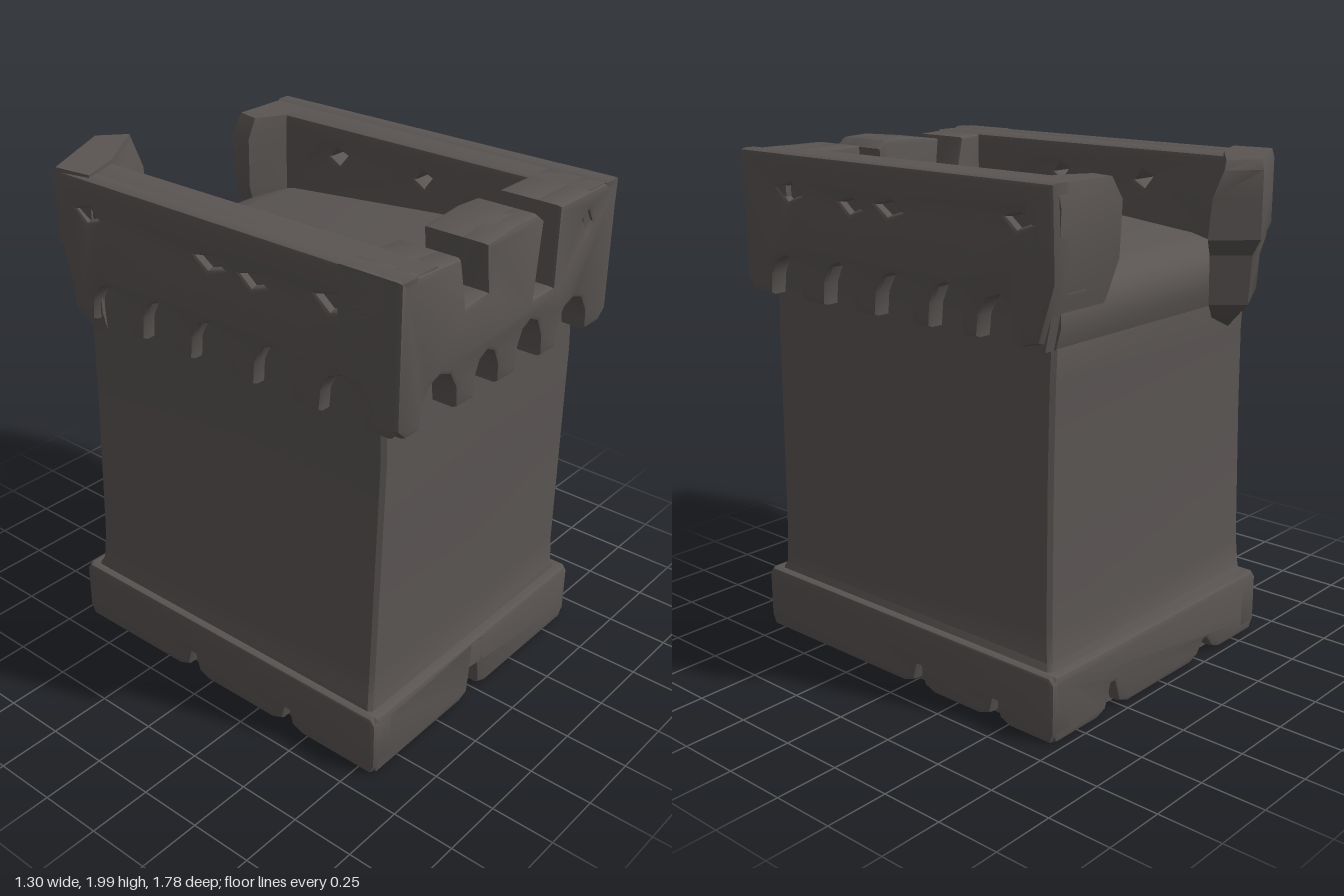
import * as THREE from 'three';
import { toCreasedNormals } from 'three/addons/utils/BufferGeometryUtils.js';

const stone = new THREE.MeshStandardMaterial({ color: 0x5a5553 });
stone.name = 'dark stone';

function part(name, geometry) {
  const g = geometry.index ? geometry.toNonIndexed() : geometry;
  const mesh = new THREE.Mesh(toCreasedNormals(g, 0.7), stone);
  mesh.name = name;
  return mesh;
}

// Solid through a stack of plan outlines, each { y, pts: [x, z][] }
function loft(name, rings) {
  const n = rings[0].pts.length;
  const pos = rings.flatMap(r => r.pts.flatMap(([x, z]) => [x, r.y, z]));
  const idx = [];
  for (let k = 0; k < rings.length - 1; k++) {
    for (let i = 0; i < n; i++) {
      const a = k * n + i, b = k * n + (i + 1) % n;
      idx.push(a, b, b + n, a, b + n, a + n);
    }
  }
  const top = (rings.length - 1) * n;
  for (let i = 1; i < n - 1; i++) idx.push(0, i + 1, i, top, top + i, top + i + 1);
  const g = new THREE.BufferGeometry();
  g.setAttribute('position', new THREE.Float32BufferAttribute(pos, 3));
  g.setIndex(idx);
  return part(name, g);
}

// Rectangle with clipped corners
const rect = (x0, x1, z0, z1, c = 0.015) => [
  [x0 + c, z1], [x1 - c, z1], [x1, z1 - c], [x1, z0 + c],
  [x1 - c, z0], [x0 + c, z0], [x0, z0 + c], [x0, z1 - c]];

// Arches [centre, half width, height] cut upwards from the line y0
const archLine = (y0, arches) => arches.flatMap(([c, w, h]) => [
  [c - w, y0], [c - w * 0.92, y0 + h * 0.5], [c - w * 0.55, y0 + h * 0.88], [c, y0 + h],
  [c + w * 0.55, y0 + h * 0.88], [c + w * 0.92, y0 + h * 0.5], [c + w, y0]]);

// Plinth face with wedge-shaped cracks [centre, half width, height] in its lower edge
const plinth = (u0, u1, cracks) => [
  [u0 + 0.02, 0.01],
  ...cracks.flatMap(([c, w, h]) => [[c - w - 0.05, 0.01], [c - w, 0.03], [c - 0.01, h],
    [c + 0.01, h], [c + w, 0.03], [c + w + 0.05, 0.01]]),
  [u1 - 0.02, 0.01], [u1, 0.05], [u1, 0.24], [u1 - 0.02, 0.265], [u0 + 0.02, 0.265], [u0, 0.24], [u0, 0.05]];

// Wall plate extruded from depth d0 to d1, facing 'front', 'back', 'left' or 'right'
const turn = { front: 0, left: Math.PI / 2, back: Math.PI, right: -Math.PI / 2 };
function wall(name, facing, pts, d0, d1, bevel = 0.015, dents = []) {
  const shape = new THREE.Shape(pts.map(p => new THREE.Vector2(...p)));
  for (const [u, y, w, h] of dents) {
    shape.holes.push(new THREE.Path([[-w, h * 0.4], [w * 0.2, h], [w, -h * 0.2], [-w * 0.1, -h]]
      .map(([a, b]) => new THREE.Vector2(u + a, y + b))));
  }
  const g = new THREE.ExtrudeGeometry(shape, {
    depth: d1 - d0 - 2 * bevel, bevelEnabled: bevel > 0, bevelThickness: bevel,
    bevelSize: bevel, bevelOffset: -bevel, bevelSegments: 2 });
  g.translate(0, 0, d0 + bevel);
  g.rotateY(turn[facing]);
  return part(name, g);
}

export function createModel() {
  const tower = new THREE.Group();
  tower.name = 'tower';

  // Tapering shaft, flaring out over the plinth
  tower.add(loft('shaft', [
    { y: 0.015, pts: rect(-0.6, 0.6, -0.67, 0.77) },
    { y: 0.255, pts: rect(-0.625, 0.62, -0.685, 0.785) },
    { y: 0.29, pts: rect(-0.61, 0.602, -0.667, 0.775) },
    { y: 0.42, pts: rect(-0.598, 0.597, -0.66, 0.77) },
    { y: 1.0, pts: rect(-0.588, 0.582, -0.65, 0.78) },
    { y: 1.3, pts: rect(-0.582, 0.575, -0.65, 0.785) },
    { y: 1.48, pts: rect(-0.585, 0.57, -0.655, 0.78) },
    { y: 1.62, pts: rect(-0.585, 0.57, -0.6, 0.78) }]));

  // Plinth plates
  tower.add(
    wall('plinthFront', 'front', plinth(-0.65, 0.645, [[-0.02, 0.035, 0.24]]), 0.7, 0.825, 0.018),
    wall('plinthBack', 'back', plinth(-0.645, 0.65, [[-0.3, 0.04, 0.12], [0.3, 0.05, 0.08]]), 0.6, 0.72, 0.018),
    wall('plinthLeft', 'left', plinth(-0.825, 0.72, [[0.05, 0.03, 0.1], [0.44, 0.025, 0.09]]), 0.54, 0.648, 0.015),
    wall('plinthRight', 'right', plinth(-0.72, 0.825, [[-0.1, 0.03, 0.1], [0.4, 0.025, 0.09]]), 0.54, 0.652, 0.015));

  // Sloping deck inside the parapet, rounded off at the open back
  tower.add(wall('deck', 'left',
    [[-0.7, 1.5], [0.652, 1.42], [0.675, 1.5], [0.672, 1.56], [0.65, 1.61], [0.6, 1.65], [0.5, 1.675],
      [-0.62, 1.78], [-0.7, 1.78]], -0.565, 0.565, 0));

  // Front parapet with two gaps and an arched lower edge
  const crenels = [[0.635, 1.98], [0.25, 1.98], [0.245, 1.68], [0.12, 1.68], [0.15, 1.96], [0.11, 1.99],
    [0, 1.995], [-0.19, 1.975], [-0.17, 1.8], [-0.29, 1.79], [-0.33, 1.97], [-0.64, 1.985]];
  const frontArches = [[-0.42, 0.1, 0.16], [-0.15, 0.07, 0.15], [0.11, 0.08, 0.17], [0.39, 0.1, 0.16]];
  tower.add(
    wall('frontParapet', 'front',
      [[-0.6, 1.43], ...archLine(1.43, frontArches), [0.59, 1.43], [0.635, 1.47], ...crenels, [-0.64, 1.47]],
      0.76, 0.883, 0.02, [[0.44, 1.87, 0.03, 0.035]]),
    wall('frontParapetCore', 'front', [[-0.64, 1.61], [0.635, 1.61], ...crenels], 0.62, 0.83));

  // Side parapets, mirrored; u runs along the wall with the back end at -0.72 * s
  const arches = [[0.64, 0.09, 0.16], [0.34, 0.085, 0.17], [0.05, 0.095, 0.17], [-0.21, 0.08, 0.17], [-0.46, 0.1, 0.16]];
  const dents = [[0.6, 1.84, 0.06, 0.03], [0.26, 1.82, 0.05, 0.025], [0.06, 1.83, 0.06, 0.025], [-0.55, 1.85, 0.05, 0.025]];
  const innerDents = [[0.16, 1.86, 0.035, 0.03], [-0.26, 1.86, 0.04, 0.03]];
  for (const [side, s] of [['left', -1], ['right', 1]]) {
    const flip = list => list.map(([c, ...r]) => [c * s, ...r]);
    const ordered = pts => (s > 0 ? pts : flip(pts).reverse());
    const face = [[-0.64, 1.45], ...archLine(1.43, [...arches].reverse()),
      [0.84, 1.43], [0.87, 1.47], [0.883, 1.985], [-0.7, 1.985], [-0.71, 1.66]];
    const core = [[-0.685, 1.61], [0.87, 1.61], [0.87, 1.98], [-0.685, 1.98]];
    tower.add(
      wall(side + 'Parapet', side, ordered(face), 0.55, 0.64, 0.02, flip(dents)),
      wall(side + 'ParapetCore', side, ordered(core), 0.43, 0.61, 0.02, flip(innerDents)));
  }

  // Broken slab leaning out at the back right corner, its inner face sloping back
  const slab = (s, lean) => [
    [-0.62, -0.55], [-0.43, -0.6 - lean * 0.6], [-0.15 - lean * 0.5, -0.76 - lean], [-0.28, -0.9], [-0.64, -0.72],
  ].map(([x, z]) => [-0.55 + (x + 0.55) * s, -0.55 + (z + 0.55) * s]);
  tower.add(loft('brokenSlab', [
    [1.32, 0.28, 0], [1.45, 0.76, 0], [1.64, 0.82, 0], [1.71, 1, 0], [1.86, 1, 0.01], [1.96, 1, 0.045], [1.995, 0.95, 0.05],
  ].map(([y, s, lean]) => ({ y, pts: slab(s, lean) }))));

  // Stub of back wall at the other corner
  const stub = (x, z) => [[x, -0.6], [0.42, -0.54], [0.61, -0.5], [0.61, z], [x + 0.02, z]];
  tower.add(loft('backStub', [
    { y: 1.42, pts: stub(0.42, -0.645) },
    { y: 1.56, pts: stub(0.31, -0.675) },
    { y: 1.7, pts: stub(0.27, -0.7) },
    { y: 1.9, pts: stub(0.27, -0.71) },
    { y: 1.98, pts: stub(0.31, -0.695) }]));

  return tower;
}
